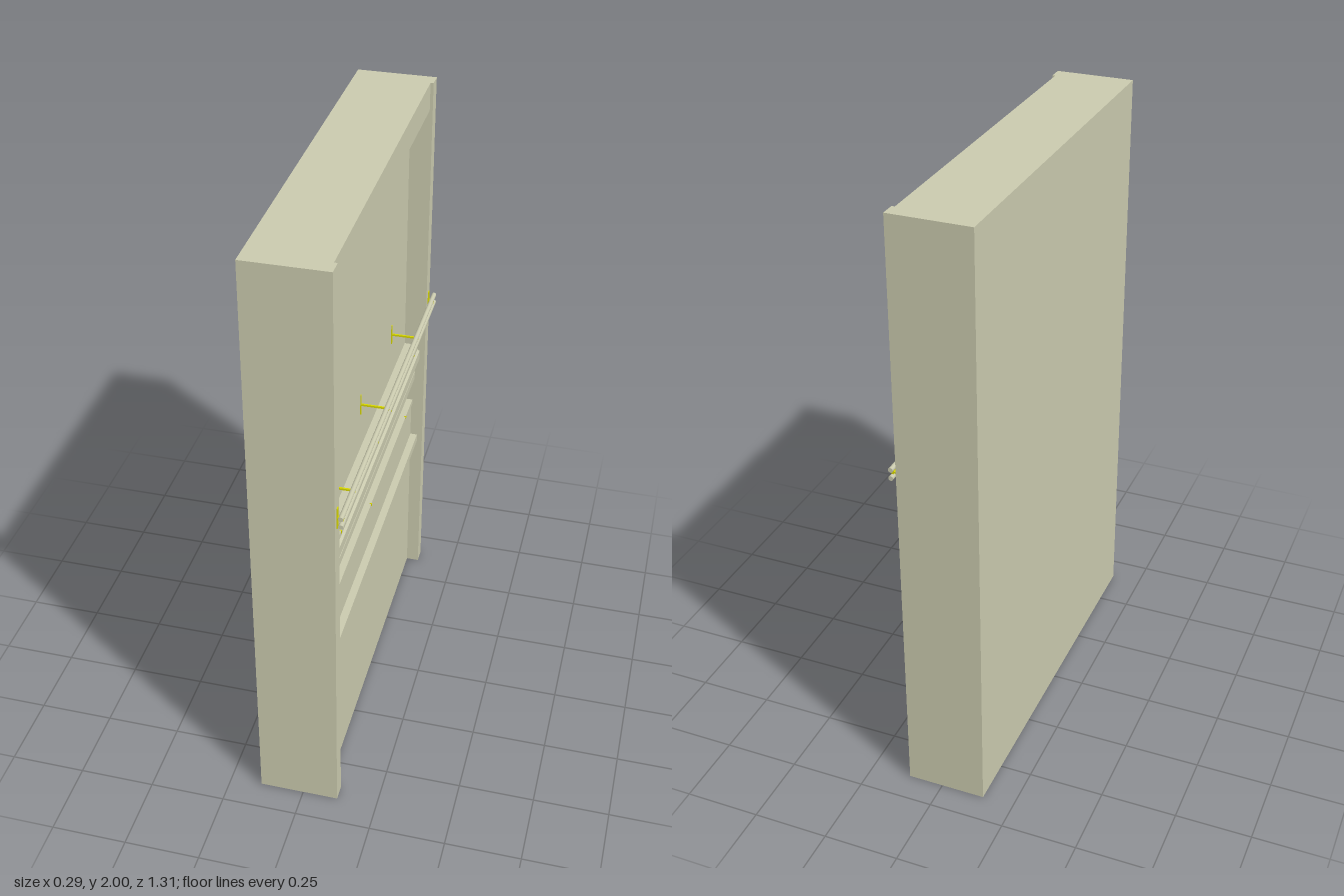
import * as THREE from 'three';

export function createModel() {
  const root = new THREE.Group();
  const stone = new THREE.MeshStandardMaterial({ color: 0xcacaae });
  const yellow = new THREE.MeshStandardMaterial({ color: 0xd8d800 });

  const add = (name, geometry, material, x, y, z, parent = root) => {
    const mesh = new THREE.Mesh(geometry, material);
    mesh.name = name;
    mesh.position.set(x, y, z);
    parent.add(mesh);
    return mesh;
  };
  // Box given by its limits on each axis
  const block = (name, material, [x0, x1], [y0, y1], [z0, z1], parent) =>
    add(name, new THREE.BoxGeometry(x1 - x0, y1 - y0, z1 - z0), material,
      (x0 + x1) / 2, (y0 + y1) / 2, (z0 + z1) / 2, parent);

  const back = -0.145, panel = 0.043, lower = 0.073, post = 0.117;
  const inner = 0.605, outer = 0.655;

  // Wall panel: one section with wainscot, mouldings and header, run along z
  const section = [
    [back, 0], [lower, 0],
    [lower, 0.58], [0.098, 0.58], [0.098, 0.61], [lower, 0.61],
    [lower, 0.74], [0.077, 0.745], [0.077, 0.765], [panel, 0.765],
    [panel, 0.84], [0.072, 0.84], [0.072, 0.857], [0.083, 0.86], [0.083, 0.89], [panel, 0.89],
    [panel, 0.945], [0.098, 0.945], [0.098, 0.98], [0.09, 0.986], [0.09, 1.005], [panel, 1.005],
    [panel, 1.905], [0.107, 1.905], [0.107, 2], [back, 2],
  ];
  const shape = new THREE.Shape(section.map(([x, y]) => new THREE.Vector2(x, y)));
  add('wallPanel', new THREE.ExtrudeGeometry(shape, { depth: 2 * inner, bevelEnabled: false }),
    stone, 0, 0, -inner);

  // Side posts
  block('leftPost', stone, [back, post], [0, 2], [inner, outer]);
  block('rightPost', stone, [back, post], [0, 2], [-outer, -inner]);

  // Twin handrail
  const railX = 0.134, railY = [1.163, 1.191], railR = 0.008;
  for (const y of railY) {
    const rail = new THREE.CylinderGeometry(railR, railR, 2 * outer, 16);
    rail.rotateX(Math.PI / 2);
    add('handrail', rail, stone, railX, y, 0);
  }

  // Rail brackets: wall plate, arm and upright between the two rails
  const bracket = (wall, z, half) => {
    const group = new THREE.Group();
    group.name = 'railBracket';
    root.add(group);
    block('bracketPlate', yellow, [wall, wall + 0.003], [1.14, 1.213], [z - half, z + half], group);
    block('bracketArm', yellow, [wall, railX], [1.174, 1.18], [z - half, z + half], group);
    block('bracketUpright', yellow, [railX - 0.003, railX + 0.003], [1.163, 1.191], [z - half, z + half], group);
  };
  for (const z of [0.495, 0.055, -0.38]) bracket(panel, z, 0.003);
  for (const z of [0.63, -0.635]) bracket(post, z, 0.007);

  // Small pins set on the mouldings
  const pins = [
    [0.089, 1.0, [0.48, 0, -0.19, -0.54]],
    [0.071, 0.842, [0.43, -0.12, -0.52]],
    [0.076, 0.762, [0.55, 0.035, -0.49]],
  ];
  for (const [x, y, places] of pins)
    for (const z of places)
      block('pin', yellow, [x - 0.004, x + 0.003], [y - 0.005, y + 0.005], [z - 0.002, z + 0.002]);

  return root;
}
